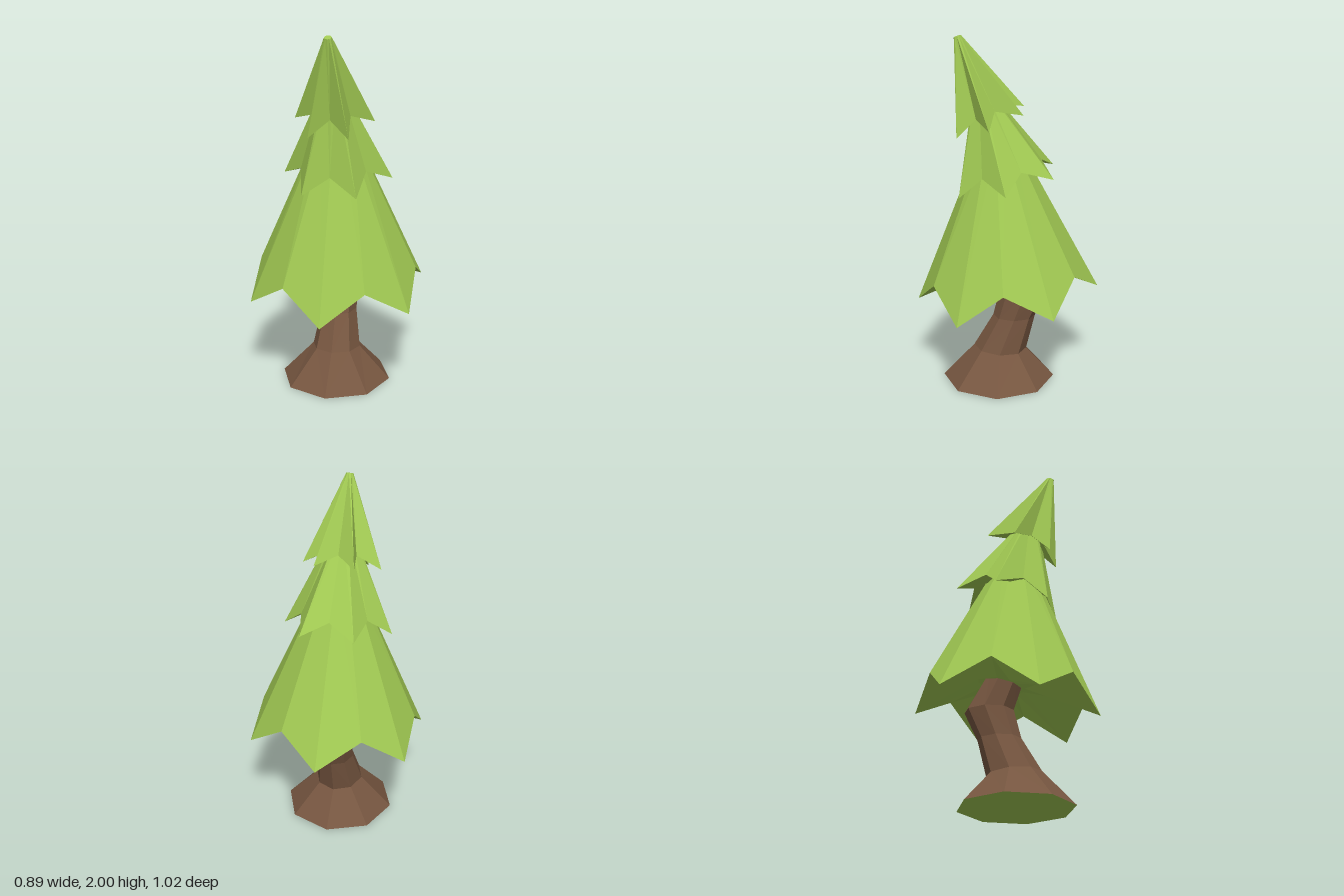
import * as THREE from 'three';

const leafMat = new THREE.MeshStandardMaterial({ color: 0xa0c852, flatShading: true });
const barkMat = new THREE.MeshStandardMaterial({ color: 0x765640, flatShading: true });

// Ring of n points, starting at +z and turning towards +x; lift tilts the back edge up
function ring(n, rx, rz, y, z, lift = 0) {
  return Array.from({ length: n }, (_, i) => {
    const a = (i / n) * Math.PI * 2;
    return [rx * Math.sin(a), y - lift * Math.cos(a), z + rz * Math.cos(a)];
  });
}

// Mirrors a front-to-back half outline across x = 0
const mirrorRim = half => [
  ...half,
  ...half.slice(1, -1).reverse().map(([x, y, z]) => [-x, y, z]),
];

// Faceted skin through closed rings (bottom to top), with optional end caps
function loft(name, rings, material, capBottom, capTop) {
  const pos = [];
  const tri = (a, b, c) => pos.push(...a, ...b, ...c);
  const n = rings[0].length;
  for (let k = 0; k < rings.length - 1; k++) {
    for (let i = 0; i < n; i++) {
      const j = (i + 1) % n;
      const a = rings[k][i], b = rings[k][j], c = rings[k + 1][j], d = rings[k + 1][i];
      if (i < n / 2) { tri(a, b, c); tri(a, c, d); }
      else { tri(a, b, d); tri(b, c, d); }
    }
  }
  const cap = (r, up) => {
    const mid = [0, 1, 2].map(q => r.reduce((s, p) => s + p[q], 0) / n);
    r.forEach((p, i) => {
      const next = r[(i + 1) % n];
      if (up) tri(mid, p, next);
      else tri(mid, next, p);
    });
  };
  if (capBottom) cap(rings[0], false);
  if (capTop) cap(rings[rings.length - 1], true);
  const geo = new THREE.BufferGeometry();
  geo.setAttribute('position', new THREE.Float32BufferAttribute(pos, 3));
  geo.computeVertexNormals();
  const mesh = new THREE.Mesh(geo, material);
  mesh.name = name;
  return mesh;
}

export function createModel() {
  const tree = new THREE.Group();
  tree.name = 'leaningPineTree';

  // Bent trunk with a flared foot
  const trunkRings = [
    ring(8, 0.31, 0.32, 0, 0.05),
    ring(8, 0.135, 0.15, 0.185, 0.04, -0.01),
    ring(8, 0.1, 0.12, 0.385, -0.04),
    ring(8, 0.11, 0.137, 0.55, -0.098),
    ring(8, 0.1, 0.11, 0.76, 0.0),
  ];
  tree.add(loft('trunk', trunkRings, barkMat, false, true));

  // Green underside of the foot
  const base = loft('trunkBase', [trunkRings[0]], leafMat, true, false);
  tree.add(base);

  // Jagged foliage tiers: hidden inner ring, zigzag rim, narrow top ring
  const tiers = [
    {
      name: 'lowerFoliage',
      inner: ring(12, 0.12, 0.13, 0.7, -0.03, 0.03),
      rim: [[0, 0.48, 0.51], [0.225, 0.65, 0.4], [0.445, 0.5, 0.26], [0.445, 0.68, 0.01],
        [0.445, 0.545, -0.26], [0.225, 0.71, -0.375], [0, 0.57, -0.515]],
      top: ring(12, 0.115, 0.1, 1.42, 0.06, 0.03),
    },
    {
      name: 'middleFoliage',
      inner: ring(12, 0.1, 0.1, 1.29, 0.07, 0.03),
      rim: [[0, 1.235, 0.225], [0.15, 1.135, 0.26], [0.18, 1.255, 0.13], [0.305, 1.19, 0],
        [0.185, 1.295, -0.08], [0.15, 1.245, -0.255], [0, 1.315, -0.19]],
      top: ring(12, 0.05, 0.035, 1.72, 0.15, 0.01),
    },
    {
      name: 'upperFoliage',
      inner: ring(12, 0.05, 0.05, 1.61, 0.12, 0.02),
      rim: [[0, 1.55, 0.22], [0.11, 1.46, 0.27], [0.1, 1.565, 0.165], [0.22, 1.525, 0.09],
        [0.087, 1.605, 0.065], [0.11, 1.59, -0.09], [0, 1.62, 0.01]],
      top: ring(12, 0.02, 0.02, 1.993, 0.265, 0.007),
    },
  ];
  for (const t of tiers) {
    tree.add(loft(t.name, [t.inner, mirrorRim(t.rim), t.top], leafMat, true, true));
  }
  return tree;
}
